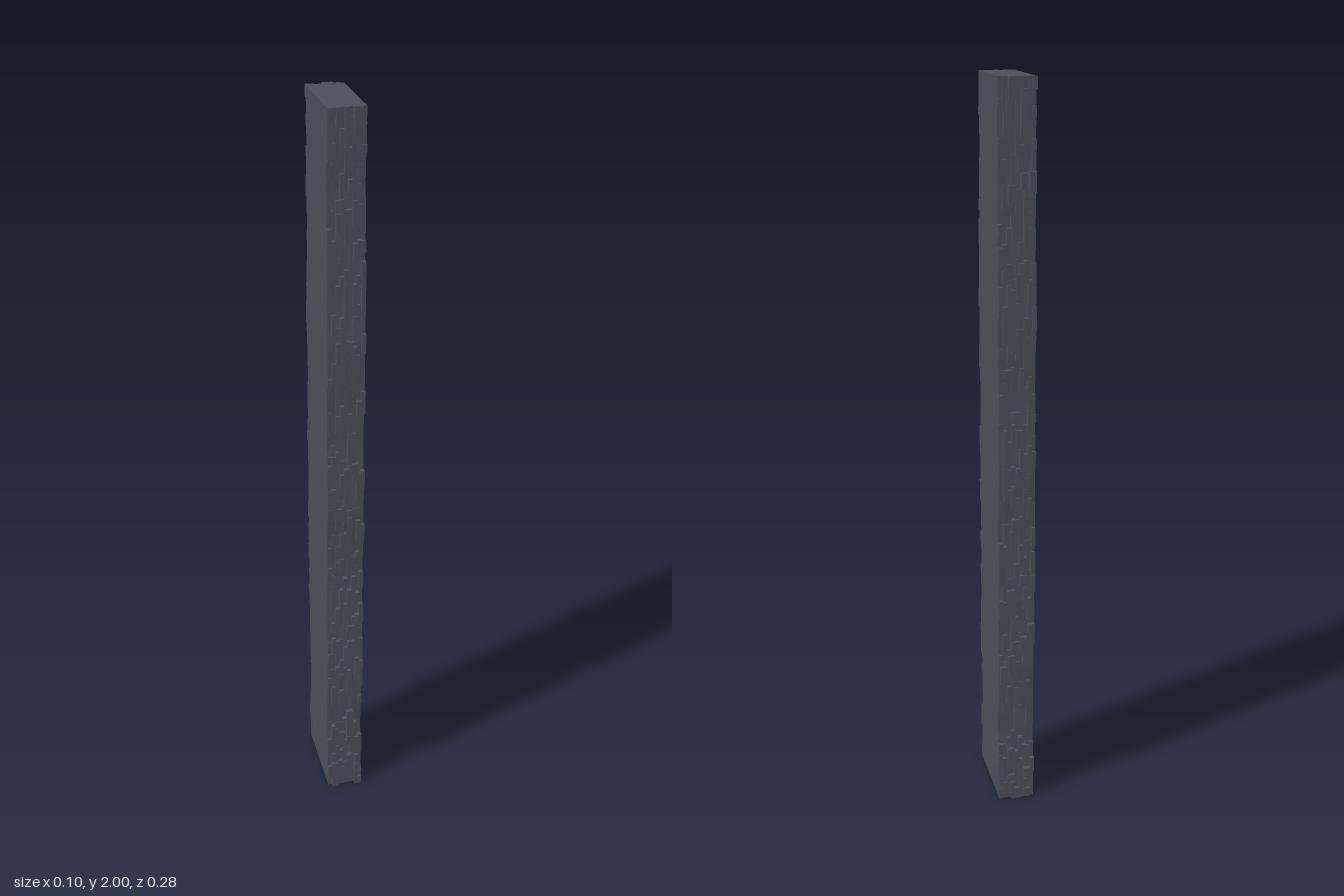
import * as THREE from 'three';
import { mergeGeometries } from 'three/addons/utils/BufferGeometryUtils.js';

const HEIGHT = 2, HALF_X = 0.05, MAX_Z = 0.139;

// small seeded random number source
function seeded(seed) {
  let s = seed;
  return () => {
    s = (s * 1664525 + 1013904223) % 4294967296;
    return s / 4294967296;
  };
}

// wavy depth of the broken edges, sampled evenly from bottom to top
const FRONT_EDGE = [0.132, 0.126, 0.116, 0.12, 0.128, 0.13, 0.122, 0.12, 0.126, 0.134, 0.13, 0.124, 0.127, 0.133, 0.135, 0.124, 0.122, 0.125, 0.121, 0.127, 0.13];
const BACK_EDGE = [0.131, 0.126, 0.117, 0.122, 0.127, 0.125, 0.131, 0.126, 0.122, 0.13, 0.134, 0.129, 0.125, 0.128, 0.131, 0.127, 0.121, 0.124, 0.118, 0.119, 0.126];

function depthAt(edge, y) {
  const t = THREE.MathUtils.clamp(y / HEIGHT, 0, 1) * (edge.length - 1);
  const i = Math.min(Math.floor(t), edge.length - 2);
  return THREE.MathUtils.lerp(edge[i], edge[i + 1], t - i);
}

// solid slab with wavy front and back edges
function slabGeometry() {
  const y0 = 0.0005, y1 = HEIGHT - 0.0005, steps = 40, points = [];
  const yAt = (i) => y0 + (y1 - y0) * i / steps;
  // shape x becomes -z after the turn
  for (let i = 0; i <= steps; i++) points.push(new THREE.Vector2(depthAt(BACK_EDGE, yAt(i)) - 0.004, yAt(i)));
  for (let i = steps; i >= 0; i--) points.push(new THREE.Vector2(-depthAt(FRONT_EDGE, yAt(i)) + 0.004, yAt(i)));
  const width = 2 * HALF_X - 0.001;
  const geometry = new THREE.ExtrudeGeometry(new THREE.Shape(points), { depth: width, bevelEnabled: false });
  geometry.translate(0, 0, -width / 2);
  geometry.rotateY(Math.PI / 2);
  return geometry;
}

// columns of small chipped blocks along one broken edge
function chipGeometry(edge, side, seed) {
  const rand = seeded(seed), blocks = [], columns = 9;
  const w = 2 * HALF_X / columns;
  for (let c = 0; c < columns; c++) {
    let y = 0;
    while (y < HEIGHT) {
      const h = 0.018 + 0.05 * rand();
      const top = HEIGHT - y - h < 0.015 ? HEIGHT : y + h;
      if (rand() < 0.8) {
        // some blocks spread over the next column
        const x0 = -HALF_X + c * w;
        const x1 = Math.min(HALF_X, x0 + w * (rand() < 0.25 ? 1.7 : 1));
        const outer = Math.min(MAX_Z - 0.002 * rand(), depthAt(edge, (y + top) / 2) - 0.006 + 0.019 * rand());
        const inner = 0.103 + 0.012 * rand();
        const box = new THREE.BoxGeometry(x1 - x0, top - y, outer - inner);
        box.translate((x0 + x1) / 2, (y + top) / 2, side * (outer + inner) / 2);
        blocks.push(box);
      }
      y = top;
    }
  }
  return mergeGeometries(blocks);
}

export function createModel() {
  const group = new THREE.Group();
  group.name = 'brokenStoneSlab';
  const stone = new THREE.MeshStandardMaterial({ color: 0x4b4f5a });
  stone.name = 'slate grey';

  const add = (name, geometry) => {
    const mesh = new THREE.Mesh(geometry, stone);
    mesh.name = name;
    group.add(mesh);
  };
  add('slabCore', slabGeometry());
  add('frontChippedEdge', chipGeometry(FRONT_EDGE, 1, 17));
  add('backChippedEdge', chipGeometry(BACK_EDGE, -1, 91));
  return group;
}
